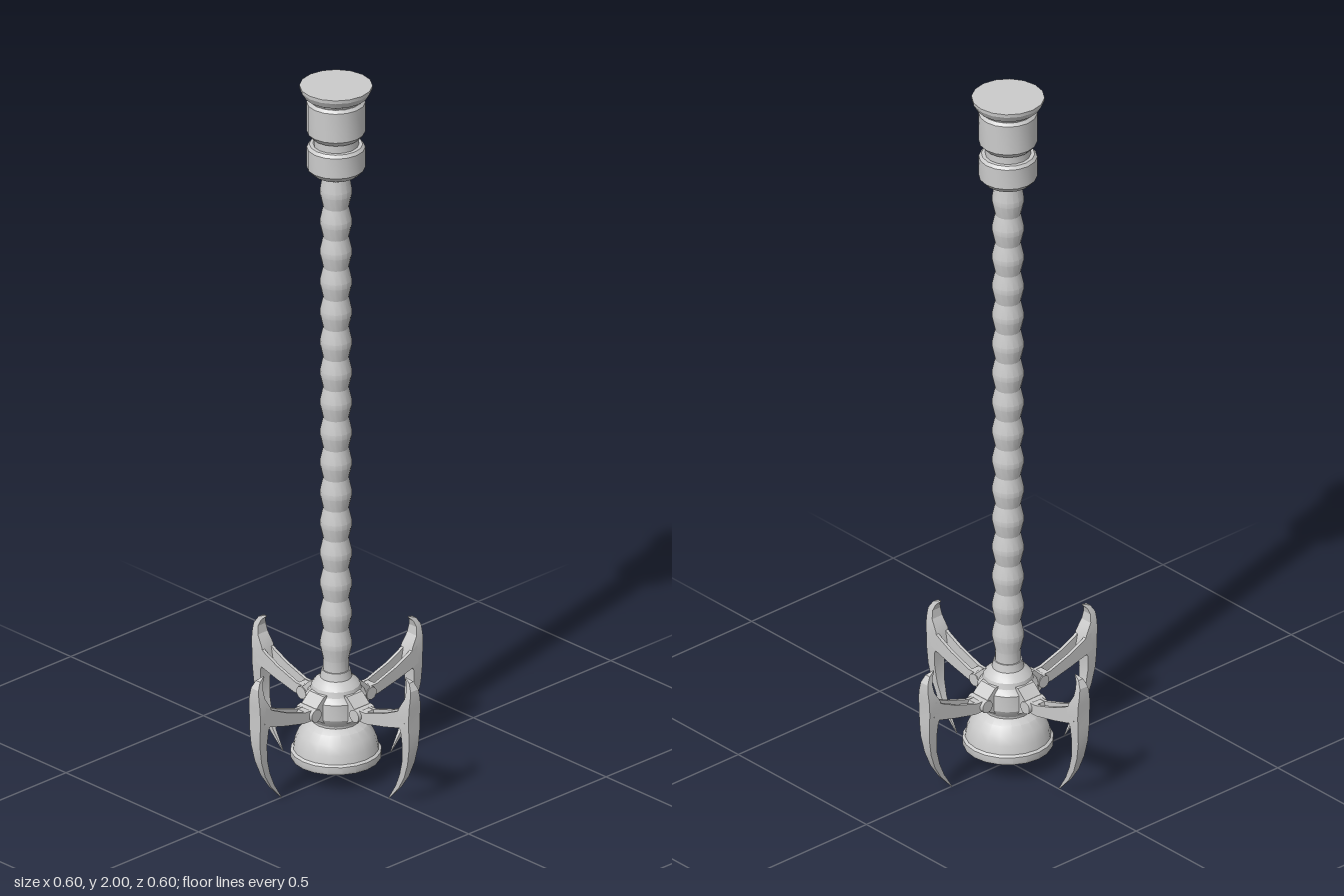
import * as THREE from 'three';
import { toCreasedNormals, mergeGeometries } from 'three/addons/utils/BufferGeometryUtils.js';

const material = new THREE.MeshStandardMaterial({ color: 0xcccccc });

function add(parent, name, geometry) {
  const mesh = new THREE.Mesh(geometry, material);
  mesh.name = name;
  parent.add(mesh);
  return mesh;
}

// Turned part from [radius, height] pairs, listed from bottom to top
function turned(profile, sides = 16) {
  const points = profile.map(([r, y]) => new THREE.Vector2(r, y));
  return toCreasedNormals(new THREE.LatheGeometry(points, sides), 0.42);
}

// Four-sided loft; each row is [outer x, outer y, inner x, inner y, half width]
function loft(rows, z = 0) {
  const positions = [];
  const index = [];
  for (const [ox, oy, ix, iy, w] of rows) {
    positions.push(ox, oy, z - w, ox, oy, z + w, ix, iy, z + w, ix, iy, z - w);
  }
  for (let r = 0; r < rows.length - 1; r++) {
    for (let k = 0; k < 4; k++) {
      const a = r * 4 + k, b = r * 4 + (k + 1) % 4;
      index.push(a, b, b + 4, a, b + 4, a + 4);
    }
  }
  const e = (rows.length - 1) * 4;
  index.push(0, 2, 1, 0, 3, 2, e, e + 1, e + 2, e, e + 2, e + 3);
  const g = new THREE.BufferGeometry();
  g.setAttribute('position', new THREE.Float32BufferAttribute(positions, 3));
  g.setIndex(index);
  return toCreasedNormals(g, 0.4);
}

// Side profile in x and y given thickness across z
function slab(points, halfWidth) {
  const shape = new THREE.Shape(points.map(([x, y]) => new THREE.Vector2(x, y)));
  const g = new THREE.ExtrudeGeometry(shape, { depth: halfWidth * 2, bevelEnabled: false });
  return g.translate(0, 0, -halfWidth);
}

function createArm() {
  const arm = new THREE.Group();

  // Bracket on the hub with its hinge pin
  add(arm, 'bracket', slab([
    [0.04, 0.18], [0.07, 0.182], [0.098, 0.198], [0.098, 0.232], [0.07, 0.258], [0.04, 0.262],
  ], 0.028));
  const pin = add(arm, 'hingePin', new THREE.CylinderGeometry(0.018, 0.018, 0.062, 10));
  pin.rotation.x = Math.PI / 2;
  pin.position.set(0.1, 0.214, 0);

  // Two rails with an open slot, closed at the hinge end
  const rail = [
    [0.095, 0.229, 0.095, 0.199, 0.0045],
    [0.13, 0.23, 0.135, 0.2, 0.0045],
    [0.2, 0.253, 0.205, 0.216, 0.0045],
    [0.245, 0.274, 0.255, 0.23, 0.0045],
    [0.275, 0.292, 0.28, 0.24, 0.0045],
  ];
  add(arm, 'rails', mergeGeometries([loft(rail, 0.0165), loft(rail, -0.0165)]));
  add(arm, 'railBridge', slab([[0.095, 0.2], [0.135, 0.201], [0.128, 0.229], [0.095, 0.228]], 0.0205));

  // Claw: upward hook flowing into the long curved talon
  add(arm, 'claw', loft([
    [0.263, 0.373, 0.262, 0.37, 0.001],
    [0.284, 0.365, 0.274, 0.358, 0.008],
    [0.296, 0.345, 0.279, 0.341, 0.014],
    [0.298, 0.32, 0.276, 0.318, 0.018],
    [0.297, 0.295, 0.258, 0.288, 0.021],
    [0.295, 0.26, 0.25, 0.248, 0.021],
    [0.295, 0.225, 0.264, 0.223, 0.02],
    [0.293, 0.18, 0.267, 0.18, 0.017],
    [0.283, 0.13, 0.262, 0.132, 0.013],
    [0.266, 0.085, 0.249, 0.09, 0.009],
    [0.241, 0.045, 0.23, 0.05, 0.005],
    [0.2, 0, 0.199, 0.002, 0.001],
  ]));
  return arm;
}

export function createModel() {
  const model = new THREE.Group();

  // Hollow bell under the hub
  add(model, 'bell', turned([
    [0, 0.12], [0.06, 0.112], [0.088, 0.09], [0.1, 0.055], [0.118, 0.055], [0.12, 0.06],
    [0.12, 0.077], [0.113, 0.082], [0.109, 0.105], [0.099, 0.13], [0.083, 0.151], [0.065, 0.162], [0, 0.162],
  ], 20));

  // Hub that carries the arms
  add(model, 'hub', turned([
    [0, 0.155], [0.062, 0.155], [0.064, 0.168], [0.074, 0.18], [0.08, 0.192], [0.08, 0.237],
    [0.068, 0.252], [0.064, 0.268], [0.056, 0.278], [0.042, 0.288], [0.038, 0.31], [0, 0.31],
  ]));

  // Rippled shaft
  const shaft = [[0.035, 0.29]];
  const ripples = 16, start = 0.34, pitch = 0.0873;
  for (let i = 0; i < ripples; i++) {
    const y = start + i * pitch;
    shaft.push([0.034, y], [0.042, y + pitch * 0.42], [0.042, y + pitch * 0.58]);
  }
  shaft.push([0.036, start + ripples * pitch], [0.036, 1.77]);
  add(model, 'shaft', turned(shaft));

  // Head: lower collar, neck, upper collar and flared cap
  add(model, 'lowerCollar', turned([
    [0, 1.738], [0.042, 1.738], [0.062, 1.748], [0.077, 1.764], [0.077, 1.822], [0.07, 1.83], [0, 1.83],
  ]));
  add(model, 'neck', turned([[0.06, 1.825], [0.06, 1.862]]));
  add(model, 'upperCollar', turned([
    [0, 1.853], [0.064, 1.853], [0.077, 1.868], [0.077, 1.952], [0.07, 1.96], [0, 1.96],
  ]));
  add(model, 'cap', turned([
    [0.066, 1.955], [0.072, 1.966], [0.084, 1.972], [0.095, 1.99], [0.096, 2], [0, 2],
  ]));

  // Four arms around the hub
  for (let i = 0; i < 4; i++) {
    const arm = createArm();
    arm.name = 'arm' + (i + 1);
    arm.rotation.y = i * Math.PI / 2;
    model.add(arm);
  }
  return model;
}
